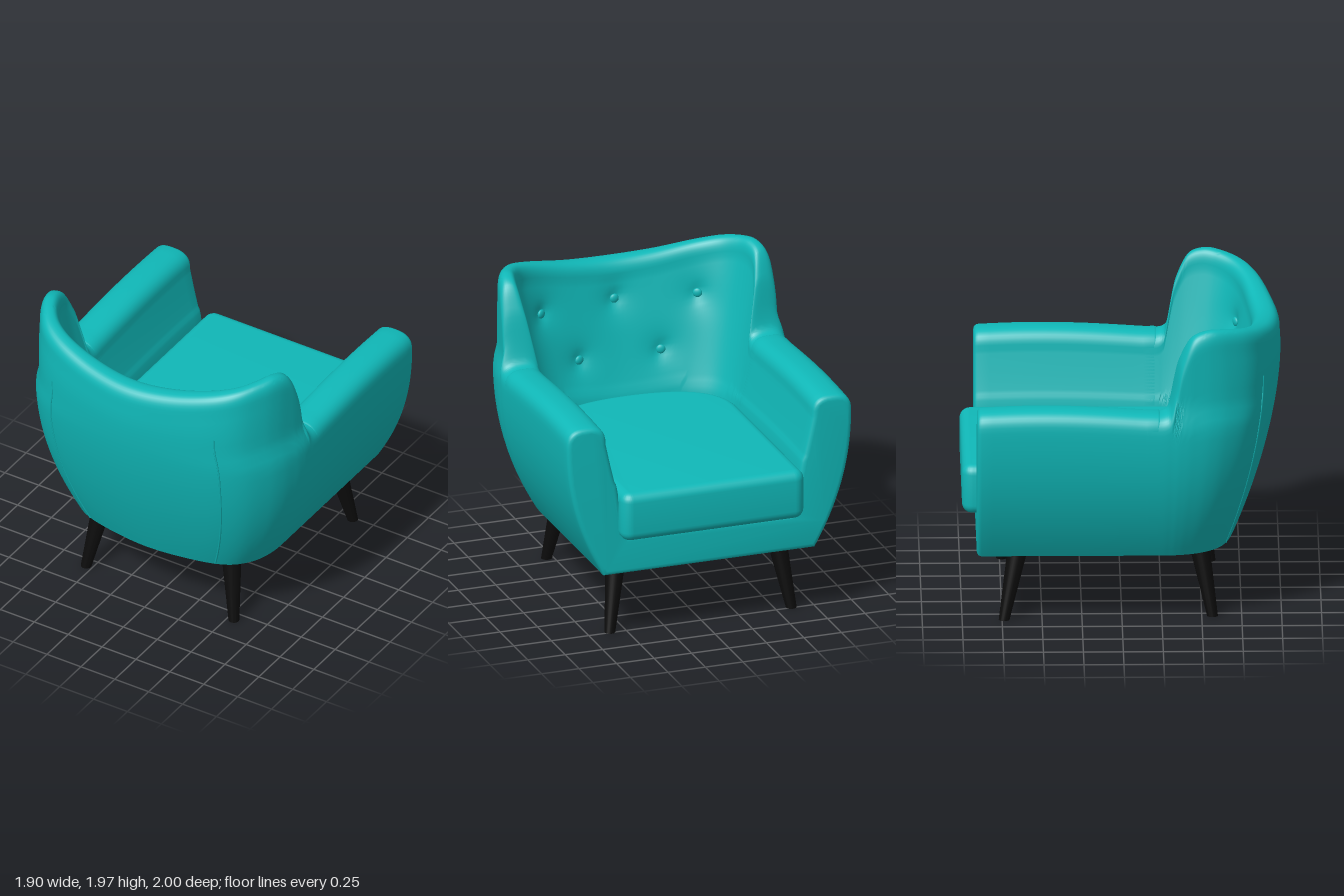
import * as THREE from 'three';
import { toCreasedNormals } from 'three/addons/utils/BufferGeometryUtils.js';

const BASE = 0.45, FLOOR = 0.72, ZC = 0.25, FRONT = -0.91;

// Half of the plan, arm to back centre: outer x, rim height, outer z, low inner x, z, high inner x, z
const ROWS = [
  [0.95, 1.44, 0.15, 0.61, 0.15, 0.80, 0.12],
  [0.95, 1.44, 0.27, 0.61, 0.24, 0.80, 0.25],
  [0.948, 1.47, 0.31, 0.61, 0.27, 0.80, 0.29],
  [0.944, 1.78, 0.38, 0.605, 0.32, 0.80, 0.35],
  [0.932, 1.93, 0.46, 0.59, 0.40, 0.795, 0.42],
  [0.905, 1.97, 0.57, 0.555, 0.48, 0.775, 0.51],
  [0.86, 1.965, 0.67, 0.50, 0.54, 0.74, 0.60],
  [0.76, 1.94, 0.80, 0.42, 0.585, 0.67, 0.69],
  [0.62, 1.905, 0.885, 0.33, 0.61, 0.54, 0.765],
  [0.32, 1.85, 0.965, 0.16, 0.63, 0.28, 0.83],
  [0, 1.83, 1.0, 0, 0.635, 0, 0.86],
];
const mirrored = ROWS.slice(0, -1).reverse().map(r => r.map((v, i) => ([0, 3, 5].includes(i) ? -v : v)));
const ALL = [...ROWS, ...mirrored];
const curve = (a, b, c) => new THREE.CatmullRomCurve3(
  ALL.map(r => new THREE.Vector3(r[a], b === null ? 0 : r[b], r[c])));
const outerCurve = curve(0, 1, 2), lowCurve = curve(3, null, 4), highCurve = curve(5, null, 6);

// Outer skin: the plan tapers in towards the base
function outerAt(p, y) {
  const fx = y < 1.35 ? 1 - 0.26 * Math.pow((1.35 - y) / 0.9, 2.2)
    : 1 - 0.035 * THREE.MathUtils.smoothstep(y, 1.35, 1.5);
  const fz = y < 1.6 ? 1 - 0.37 * Math.pow((1.6 - y) / 1.15, 1.7) : 1 - 0.5 * (y - 1.6) ** 2;
  return new THREE.Vector3(p.x * fx, y, p.z > ZC ? ZC + (p.z - ZC) * fz : p.z);
}

// Inner skin: leans outwards with height
function innerAt(lo, hi, y) {
  const s = (y - 1) / 0.9;
  const v = lo.clone().lerp(hi, s > 0 ? Math.pow(s, s > 0.05 ? 0.85 : 1) : s * 0.7);
  v.y = y;
  return v;
}

// Section through wall: up the outside, over the rounded rim, down the inside
function section(t) {
  const o = outerCurve.getPoint(t), lo = lowCurve.getPoint(t), hi = highCurve.getPoint(t);
  const r = 0.12, shoulder = o.y - r, pts = [];
  for (let j = 0; j <= 22; j++) pts.push(outerAt(o, THREE.MathUtils.lerp(BASE, shoulder, j / 22)));
  const a = outerAt(o, shoulder), b = innerAt(lo, hi, shoulder);
  for (let j = 1; j < 18; j++) {
    const c = Math.cos(Math.PI * j / 18), s = Math.sin(Math.PI * j / 18);
    const w = 0.5 - 0.5 * Math.sign(c) * Math.pow(Math.abs(c), 0.75);
    const v = a.clone().lerp(b, w);
    v.y = shoulder + r * Math.pow(s, 0.75);
    pts.push(v);
  }
  for (let j = 0; j <= 30; j++) pts.push(innerAt(lo, hi, THREE.MathUtils.lerp(shoulder, FLOOR, j / 30)));
  return pts;
}

// Point on the inner back at a given x and height
function innerPoint(x, y) {
  let best = null;
  for (let i = 0; i <= 600; i++) {
    const t = 0.25 + 0.5 * i / 600;
    const v = innerAt(lowCurve.getPoint(t), highCurve.getPoint(t), y);
    if (!best || Math.abs(v.x - x) < Math.abs(best.x - x)) best = v;
  }
  return best;
}

function buildBack(buttons) {
  const N = 160, pos = [], idx = [];
  let M = 0;
  for (let i = 0; i <= N; i++) {
    const pts = section(i / N);
    // tufting dents
    for (let j = 40; j < pts.length; j++) for (const b of buttons) {
      const d2 = (pts[j].x - b.x) ** 2 + (pts[j].y - b.y) ** 2;
      pts[j].z += 0.02 * Math.exp(-d2 / 0.002) + 0.02 * Math.exp(-d2 / 0.012);
    }
    pts.unshift(new THREE.Vector3(0, BASE, 0.2));
    pts.push(new THREE.Vector3(0, FLOOR, 0.2));
    M = pts.length;
    pts.forEach(p => pos.push(p.x, p.y, p.z));
  }
  for (let i = 0; i < N; i++) for (let j = 0; j < M - 1; j++) {
    const a = i * M + j, b = a + M;
    idx.push(a, a + 1, b, a + 1, b + 1, b);
  }
  const g = new THREE.BufferGeometry();
  g.setAttribute('position', new THREE.Float32BufferAttribute(pos, 3));
  g.setIndex(idx);
  return toCreasedNormals(g, 0.7);
}

// Arms and seat base: one U-shaped section extruded front to back
function buildArms() {
  const half = section(0).map(p => new THREE.Vector2(p.x, p.y));
  half.push(new THREE.Vector2(0.54, 0.69));
  const other = half.map(p => new THREE.Vector2(-p.x, p.y)).reverse();
  const bevel = 0.03, length = 0.25 - FRONT;
  const g = new THREE.ExtrudeGeometry(new THREE.Shape([...half, ...other]), {
    depth: length - 2 * bevel, steps: 16, bevelEnabled: true,
    bevelSize: bevel, bevelThickness: bevel, bevelOffset: -bevel, bevelSegments: 4,
  });
  g.translate(0, 0, FRONT + bevel);
  // gentle crown along the arm tops
  const p = g.attributes.position;
  for (let i = 0; i < p.count; i++) {
    const k = Math.max(0, p.getY(i) - BASE), z = Math.min(0.15, p.getZ(i));
    p.setY(i, p.getY(i) + 0.03 * k * Math.sin((0.15 - z) * 2.4));
  }
  return toCreasedNormals(g, 0.7);
}

function buildCushion() {
  const b = 0.06, w = 0.61 - b, f = -1 + b, back = 0.635 - b, c = 0.012;
  const s = new THREE.Shape();
  s.moveTo(-w + c, f);
  s.lineTo(w - c, f);
  s.quadraticCurveTo(w, f, w, f + c);
  s.lineTo(w, 0.22);
  s.bezierCurveTo(w, 0.46, 0.36, back, 0, back);
  s.bezierCurveTo(-0.36, back, -w, 0.46, -w, 0.22);
  s.lineTo(-w, f + c);
  s.quadraticCurveTo(-w, f, -w + c, f);
  const g = new THREE.ExtrudeGeometry(s, {
    depth: 0.32 - 2 * b, bevelEnabled: true, bevelSize: b, bevelThickness: b, bevelSegments: 6, curveSegments: 20,
  });
  g.rotateX(Math.PI / 2).translate(0, 1.01 - b, 0);
  return toCreasedNormals(g, 0.7);
}

// Tapered leg, sheared so that both ends stay level
function buildLeg(top, bottom) {
  const g = new THREE.CylinderGeometry(0.065, 0.034, BASE + 0.01, 24);
  g.translate(0, (BASE + 0.01) / 2, 0);
  const p = g.attributes.position;
  for (let i = 0; i < p.count; i++) {
    const k = p.getY(i) / BASE;
    p.setX(i, p.getX(i) + THREE.MathUtils.lerp(bottom[0], top[0], k));
    p.setZ(i, p.getZ(i) + THREE.MathUtils.lerp(bottom[1], top[1], k));
  }
  g.computeVertexNormals();
  return toCreasedNormals(g, 0.7);
}

export function createModel() {
  const group = new THREE.Group();
  const fabric = new THREE.MeshStandardMaterial({ color: 0x10b8b8, side: THREE.DoubleSide });
  const wood = new THREE.MeshStandardMaterial({ color: 0x0c0c0c, side: THREE.DoubleSide });
  const add = (name, geometry, material) => {
    const m = new THREE.Mesh(geometry, material);
    m.name = name;
    group.add(m);
    return m;
  };
  const buttons = [[0, 1.58], [0.52, 1.58], [-0.52, 1.58], [0.27, 1.24], [-0.27, 1.24]]
    .map(([x, y]) => innerPoint(x, y));

  add('backrest', buildBack(buttons), fabric);
  add('armsAndBase', buildArms(), fabric);
  add('seatCushion', buildCushion(), fabric);

  // Tufting buttons
  for (const b of buttons) {
    const m = add('button', new THREE.SphereGeometry(0.03, 16, 10), fabric);
    m.scale.z = 0.5;
    m.position.set(b.x, b.y, b.z + 0.028);
    m.rotation.y = b.x * 0.9;
  }

  for (const side of [1, -1]) {
    // Seam down each rear corner
    const seam = [];
    for (let i = 0; i <= 12; i++) {
      seam.push(outerAt(new THREE.Vector3(0.62 * side, 0, 0.885), BASE + 0.005 + 1.145 * i / 12));
    }
    add('backSeam', new THREE.TubeGeometry(new THREE.CatmullRomCurve3(seam), 40, 0.006, 6), fabric);
    // Legs
    add('rearLeg', buildLeg([0.475 * side, 0.485], [0.545 * side, 0.567]), wood);
    add('frontLeg', buildLeg([0.535 * side, -0.65], [0.605 * side, -0.737]), wood);
  }
  return group;
}
